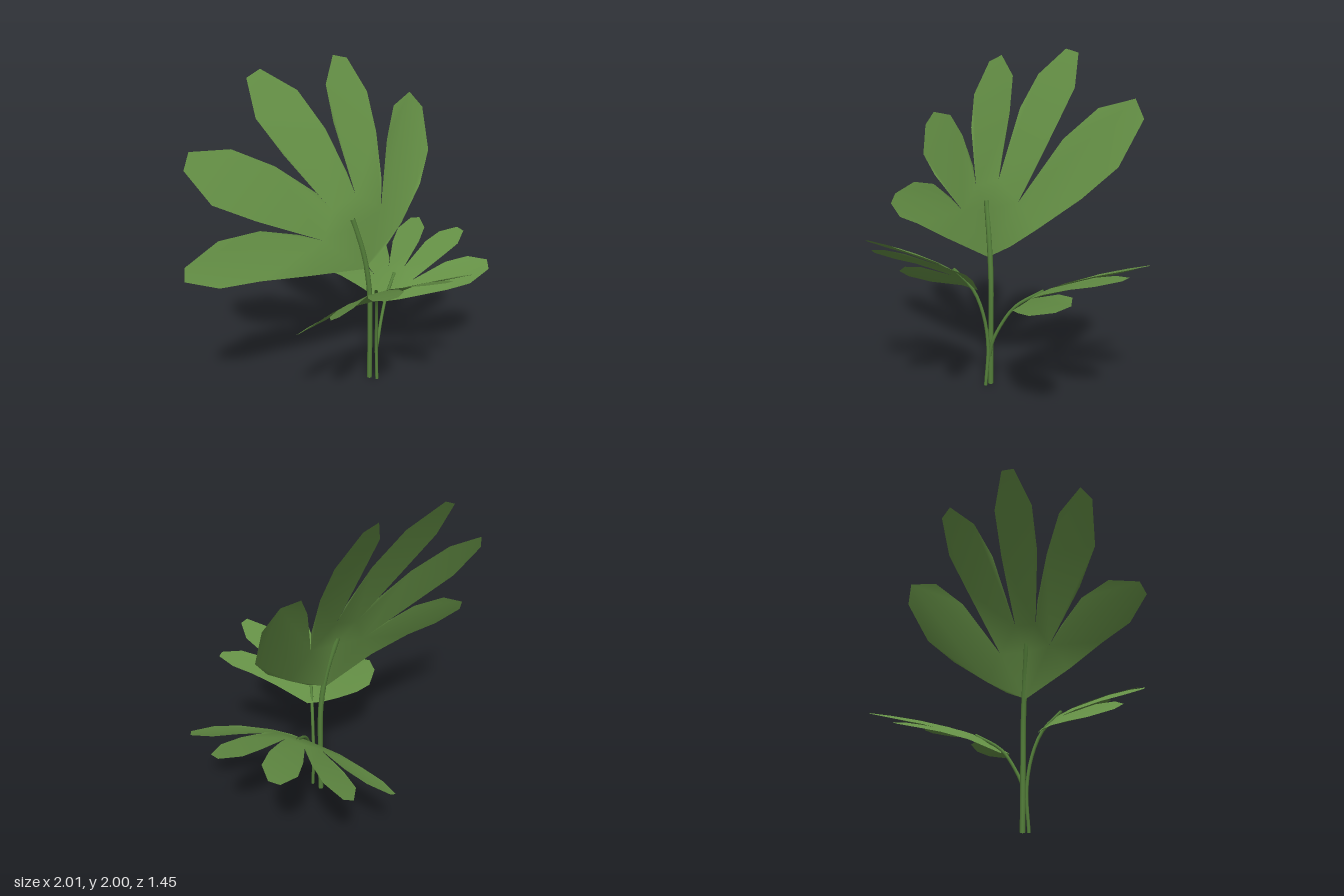
import * as THREE from 'three';
import { mergeGeometries, mergeVertices } from 'three/addons/utils/BufferGeometryUtils.js';

const v = (a) => new THREE.Vector3(...a);

// Leaf outline: five lobes between the notches, sharing one hub
const BASE = [0.09, 0.78], HUB = [0.055, 1.06];
const NOTCHES = [BASE, [-0.17, 1.02], [-0.08, 1.18], [0.1, 1.24], [0.275, 1.125], BASE];
const LOBES = [
  [[-0.3, 0.84], [-0.6, 0.877], [-0.83, 0.885], [-1, 0.95], [-0.98, 1.02], [-0.77, 1.125], [-0.53, 1.14], [-0.31, 1.08]],
  [[-0.54, 1.195], [-0.75, 1.31], [-0.84, 1.5], [-0.785, 1.59], [-0.56, 1.58], [-0.35, 1.465], [-0.15, 1.29]],
  [[-0.28, 1.515], [-0.37, 1.72], [-0.34, 1.93], [-0.24, 1.97], [-0.06, 1.84], [0.03, 1.62], [0.08, 1.37]],
  [[0.1, 1.65], [0.145, 1.85], [0.28, 2], [0.38, 1.975], [0.44, 1.775], [0.4, 1.55], [0.33, 1.28]],
  [[0.47, 1.49], [0.63, 1.665], [0.83, 1.72], [0.91, 1.615], [0.84, 1.36], [0.67, 1.18], [0.43, 0.99], [0.26, 0.87]],
];

// The blade leans back and arches forward, most strongly along its midline
function bladeDepth(x, y) {
  const dx = x - BASE[0], dy = y - BASE[1];
  const r = Math.hypot(dx, dy) + 1e-6;
  const arch = 0.03 + 0.085 * (dy / r) ** 2;
  const swell = Math.sin(Math.PI * Math.min(1, r / 1.3) ** 0.8);
  return -0.43 * dy - 0.075 * dx * dx + 0.085 * dx + arch * swell;
}

function leafGeometry() {
  const parts = LOBES.map((lobe, i) => {
    const pts = [HUB, NOTCHES[i], ...lobe, NOTCHES[i + 1]].map((p) => new THREE.Vector2(...p));
    const g = new THREE.ShapeGeometry(new THREE.Shape(pts));
    g.deleteAttribute('uv');
    g.deleteAttribute('normal');
    return g;
  });
  const geo = mergeVertices(mergeGeometries(parts));
  const pos = geo.attributes.position;
  for (let i = 0; i < pos.count; i++) pos.setZ(i, bladeDepth(pos.getX(i), pos.getY(i)));
  return geo;
}

// Frame spanned by a leaf's base and its first and last lobe tips
function leafFrame(base, first, last) {
  const p = v(first).sub(v(base)), q = v(last).sub(v(base));
  const n = new THREE.Vector3().crossVectors(p, q);
  n.multiplyScalar(1 / Math.sqrt(n.length()));
  return new THREE.Matrix4().makeBasis(p, q, n).setPosition(v(base));
}

export function createModel() {
  const group = new THREE.Group();
  const leafGreen = new THREE.MeshStandardMaterial({ color: 0x648f45, side: THREE.DoubleSide });
  leafGreen.name = 'leaf green';
  const stemGreen = new THREE.MeshStandardMaterial({ color: 0x547f3a, side: THREE.DoubleSide });
  stemGreen.name = 'stem green';

  // One large leaf and two smaller copies, each set by base, first tip, last tip
  const master = leafFrame([0.09, 0.78, 0], [-1, 0.97, -0.25], [0.87, 1.68, -0.345]);
  const leaves = {
    largeLeaf: master,
    leftLeaf: leafFrame([0.28, 0.485, -0.02], [0.36, 0.51, -0.72], [0.87, 0.705, 0.35]),
    frontLeaf: leafFrame([0.12, 0.61, 0.13], [0.365, 0.88, 0.635], [-0.52, 0.6, 0.115]),
  };
  const blade = leafGeometry();
  const toLocal = master.clone().invert();
  for (const [name, frame] of Object.entries(leaves)) {
    const geo = blade.clone().applyMatrix4(frame.clone().multiply(toLocal));
    geo.computeVertexNormals();
    const mesh = new THREE.Mesh(geo, leafGreen);
    mesh.name = name;
    group.add(mesh);
  }

  // Curved stalks whose upper ends lie half sunk in the leaf blades
  const stems = [
    ['largeStem', 0.016, [[0.13, 0, 0.02], [0.13, 0.35, 0.02], [0.125, 0.65, 0.015], [0.095, 0.88, -0.005], [0.04, 1.11, -0.045]]],
    ['leftStem', 0.01, [[0.15, 0.19, 0.055], [0.17, 0.28, 0.055], [0.21, 0.38, 0.035], [0.29, 0.51, -0.005], [0.44, 0.62, -0.08]]],
    ['frontStem', 0.01, [[0.14, 0.01, 0.08], [0.145, 0.25, 0.065], [0.125, 0.45, 0.085], [0.08, 0.61, 0.13], [0, 0.735, 0.21]]],
  ];
  for (const [name, radius, path] of stems) {
    const curve = new THREE.CatmullRomCurve3(path.map(v));
    const mesh = new THREE.Mesh(new THREE.TubeGeometry(curve, 14, radius, 8), stemGreen);
    mesh.name = name;
    group.add(mesh);
  }
  return group;
}
